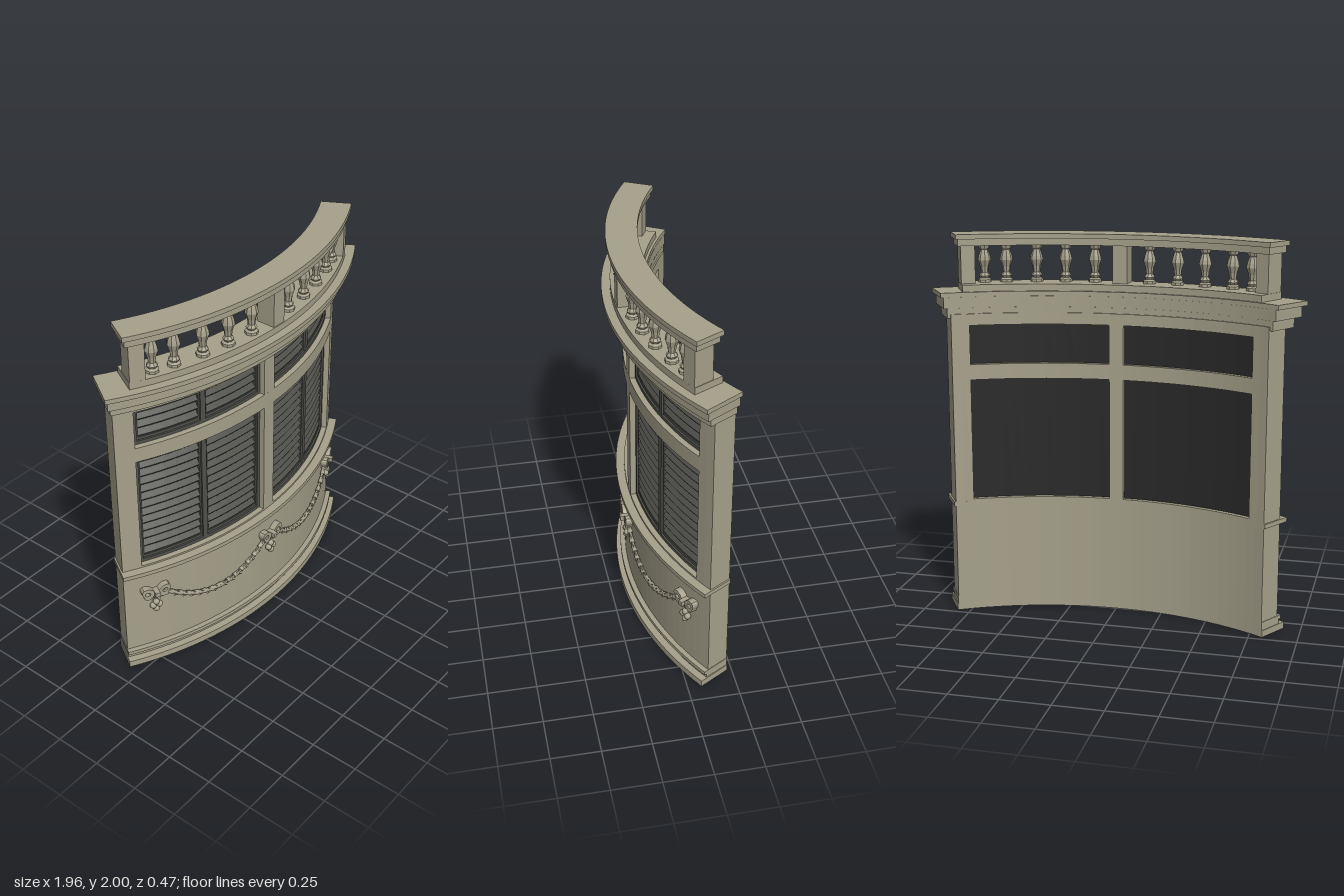
import * as THREE from 'three';

const CZ = -1.6; // centre of the plan arc
const rad = THREE.MathUtils.degToRad;

const mat = (name, color) => {
  const m = new THREE.MeshStandardMaterial({ color });
  m.name = name;
  return m;
};

// point on the plan arc, angle in degrees measured from the front
const onArc = (r, deg, y) =>
  new THREE.Vector3(r * Math.sin(rad(deg)), y, CZ + r * Math.cos(rad(deg)));

// solid curved block between two radii, two angles and two heights
function arcBlock(r0, r1, a0, a1, y0, y1) {
  const n = Math.max(1, Math.round((a1 - a0) / 2));
  const pts = [];
  for (let i = 0; i <= n; i++) pts.push(onArc(r1, a0 + ((a1 - a0) * i) / n, 0));
  for (let i = n; i >= 0; i--) pts.push(onArc(r0, a0 + ((a1 - a0) * i) / n, 0));
  const shape = new THREE.Shape(pts.map((p) => new THREE.Vector2(p.x, -p.z)));
  const g = new THREE.ExtrudeGeometry(shape, { depth: y1 - y0, bevelEnabled: false });
  return g.rotateX(-Math.PI / 2).translate(0, y0, 0);
}

// tilted louvre slat swept along the arc
function slat(a0, a1, y) {
  const prof = [[1.655, 0.018], [1.688, -0.020], [1.692, -0.012], [1.660, 0.026], [1.655, 0.018]]
    .map(([r, h]) => new THREE.Vector2(r, y + h));
  const g = new THREE.LatheGeometry(prof, 5, rad(a0), rad(a1 - a0)).toNonIndexed();
  g.computeVertexNormals();
  return g.translate(0, 0, CZ);
}

export function createModel() {
  const model = new THREE.Group();
  model.name = 'curvedBayWithBalustrade';
  const stone = mat('warmStone', 0xa6a18b);
  const shutterGrey = mat('shutterGrey', 0x50504b);
  const backing = mat('darkBacking', 0x292929);

  const add = (name, geo, m = stone, parent = model) => {
    const mesh = new THREE.Mesh(geo, m);
    mesh.name = name;
    parent.add(mesh);
    return mesh;
  };
  const band = (name, r0, r1, a, y0, y1) => add(name, arcBlock(r0, r1, -a, a, y0, y1));

  // wall with four openings
  const IN = 1.6, OUT = 1.73, END = 30.6, JAMB = 27.2, MID = 1.33;
  band('lowerWall', IN, OUT, END, 0, 0.613);
  band('windowHead', IN, OUT, END, 1.54, 1.6);
  band('windowRail', IN, OUT, JAMB, 1.255, 1.335);
  band('centreMullion', IN, OUT, MID, 0.613, 1.54);
  for (const s of [-1, 1]) {
    const a = s < 0 ? [-END, -JAMB] : [JAMB, END];
    add('endPilaster', arcBlock(IN, OUT, ...a, 0.613, 1.54));
  }

  // plinth, sill and cornice mouldings
  band('plinth', IN, 1.78, 30.8, 0, 0.035);
  band('plinthStep', IN, 1.742, 30.65, 0.035, 0.06);
  band('plinthMoulding', IN, 1.757, 30.7, 0.06, 0.08);
  band('sill', IN, 1.775, 30.9, 0.58, 0.603);
  band('corniceLower', 1.608, 1.775, 31.2, 1.58, 1.63);
  band('corniceMiddle', 1.609, 1.81, 31.8, 1.63, 1.686);
  band('corniceTop', 1.61, 1.835, 32.3, 1.686, 1.71);

  // louvred shutters: two leaves in each opening
  const shutters = (y0, y1, count) => {
    for (const s of [-1, 1]) {
      const g = new THREE.Group();
      g.name = 'shutterPair';
      model.add(g);
      const block = (name, r0, r1, a, b, ya, yb, m) =>
        add(name, arcBlock(r0, r1, Math.min(s * a, s * b), Math.max(s * a, s * b), ya, yb), m, g);
      const c = (MID + JAMB) / 2;
      block('shutterBack', 1.625, 1.645, MID, JAMB, y0, y1, backing);
      block('outerRail', 1.645, 1.7, MID, JAMB, y0, y0 + 0.018, shutterGrey);
      block('outerRail', 1.645, 1.7, MID, JAMB, y1 - 0.018, y1, shutterGrey);
      for (const [a, b] of [[MID, MID + 0.6], [c - 0.5, c + 0.5], [JAMB - 0.7, JAMB]])
        block('stile', 1.645, 1.7, a, b, y0 + 0.018, y1 - 0.018, shutterGrey);
      for (const [a, b] of [[MID + 0.6, c - 0.5], [c + 0.5, JAMB - 0.7]]) {
        // stepped inner frame of the leaf
        block('leafRail', 1.645, 1.69, a, b, y0 + 0.018, y0 + 0.033, shutterGrey);
        block('leafRail', 1.645, 1.69, a, b, y1 - 0.033, y1 - 0.018, shutterGrey);
        block('leafStile', 1.645, 1.69, a, a + 0.3, y0 + 0.033, y1 - 0.033, shutterGrey);
        block('leafStile', 1.645, 1.69, b - 0.3, b, y0 + 0.033, y1 - 0.033, shutterGrey);
        const pitch = (y1 - y0 - 0.066) / count;
        const lo = Math.min(s * a, s * b), hi = Math.max(s * a, s * b);
        for (let i = 0; i < count; i++)
          add('louvre', slat(lo + 0.2, hi - 0.2, y0 + 0.033 + pitch * (i + 0.5)), shutterGrey, g);
      }
    }
  };
  shutters(0.613, 1.255, 12);
  shutters(1.335, 1.54, 3);

  // balustrade
  band('balustradeBase', 1.624, 1.79, 28.2, 1.71, 1.745);
  band('handrailLower', 1.66, 1.8, 28.7, 1.94, 1.975);
  band('handrailTop', 1.648, 1.81, 29.1, 1.975, 2);
  band('centrePost', 1.68, 1.785, 1.3, 1.745, 1.94);
  add('endPost', arcBlock(1.68, 1.79, -28.1, -25.6, 1.745, 1.94));
  add('endPost', arcBlock(1.68, 1.79, 25.6, 28.1, 1.745, 1.94));

  const balusterProfile = [[0.034, 0], [0.034, 0.014], [0.022, 0.022], [0.029, 0.034], [0.018, 0.05],
    [0.022, 0.08], [0.034, 0.115], [0.03, 0.135], [0.019, 0.168], [0.027, 0.176], [0.032, 0.195]]
    .map(([r, y]) => new THREE.Vector2(r, y));
  const baluster = new THREE.LatheGeometry(balusterProfile, 8).toNonIndexed();
  baluster.computeVertexNormals();
  for (const s of [-1, 1])
    for (const x of [0.145, 0.297, 0.445, 0.595, 0.7]) {
      const a = (s * Math.asin(x / 1.735) * 180) / Math.PI;
      const m = add('baluster', baluster);
      m.position.copy(onArc(1.735, a, 1.745));
      m.rotation.y = rad(a);
    }

  // ribbon bows with hanging berries
  const loop = new THREE.Shape();
  loop.moveTo(0.008, -0.006);
  loop.bezierCurveTo(0.03, -0.045, 0.07, -0.04, 0.068, -0.01);
  loop.bezierCurveTo(0.085, 0.01, 0.08, 0.04, 0.058, 0.036);
  loop.bezierCurveTo(0.035, 0.04, 0.02, 0.02, 0.008, 0.008);
  const eye = new THREE.Path();
  eye.absellipse(0.048, 0.004, 0.016, 0.011, 0, Math.PI * 2, true, 0.3);
  loop.holes.push(eye);
  const loopGeo = new THREE.ExtrudeGeometry(loop, { depth: 0.035, bevelEnabled: false, curveSegments: 5 });
  const tail = new THREE.Shape([[0, 0], [0.014, 0], [0.042, -0.045], [0.03, -0.042], [0.022, -0.055]]
    .map((p) => new THREE.Vector2(...p)));
  const tailGeo = new THREE.ExtrudeGeometry(tail, { depth: 0.022, bevelEnabled: false });
  const berry = new THREE.IcosahedronGeometry(0.018, 1);
  for (const a of [-25.2, 0, 25.2]) {
    const bow = new THREE.Group();
    bow.name = 'ribbonBow';
    bow.position.copy(onArc(1.728, a, 0.437));
    bow.rotation.y = rad(a);
    model.add(bow);
    for (const s of [0, 1]) {
      // the other half is turned round so that faces stay outward
      const l = add('bowLoop', loopGeo, stone, bow);
      const t = add('bowTail', tailGeo, stone, bow);
      if (s) {
        l.rotation.y = t.rotation.y = Math.PI;
        l.position.z = 0.035;
        t.position.z = 0.022;
      }
    }
    add('bowKnot', new THREE.BoxGeometry(0.026, 0.026, 0.055), stone, bow).position.z = 0.027;
    add('pendantStem', new THREE.BoxGeometry(0.01, 0.1, 0.016), stone, bow).position.set(0, -0.05, 0.012);
    for (const [x, y] of [[-0.018, -0.088], [0.018, -0.088], [0, -0.068], [0, -0.112]])
      add('berry', berry, stone, bow).position.set(x, y, 0.02);
  }

  // leafy swags between the bows
  const UP = new THREE.Vector3(0, 1, 0);
  const stem = new THREE.CylinderGeometry(0.008, 0.015, 1, 6);
  const leaf = new THREE.ConeGeometry(0.009, 0.045, 4);
  for (const s of [-1, 1]) {
    const swag = new THREE.Group();
    swag.name = 'leafSwag';
    model.add(swag);
    const at = (t) => onArc(1.745, s * 12.5 + t * 11.2, 0.3 + 0.13 * t * t);
    const n = 14;
    for (let i = 0; i < n; i++) {
      const t0 = -1 + (2 * i) / n, t1 = t0 + 2 / n;
      const out = t0 + t1 < 0 ? -1 : 1;
      const p = at(t0), q = at(t1);
      const dir = q.clone().sub(p).multiplyScalar(out);
      const mid = p.clone().add(q).multiplyScalar(0.5);
      const piece = add('swagStem', stem, stone, swag);
      piece.position.copy(mid);
      piece.scale.y = dir.length() * 1.15;
      piece.quaternion.setFromUnitVectors(UP, dir.normalize());
      const normal = mid.clone().setY(0).sub(new THREE.Vector3(0, 0, CZ)).normalize();
      const side = normal.clone().cross(dir).normalize();
      for (const k of [-1, 1]) {
        const d = dir.clone().addScaledVector(side, k * 0.45).addScaledVector(normal, 0.2).normalize();
        const l = add('swagLeaf', leaf, stone, swag);
        l.position.copy(mid).addScaledVector(side, k * 0.011).addScaledVector(normal, 0.006);
        l.quaternion.setFromUnitVectors(UP, d);
      }
    }
  }
  return model;
}
